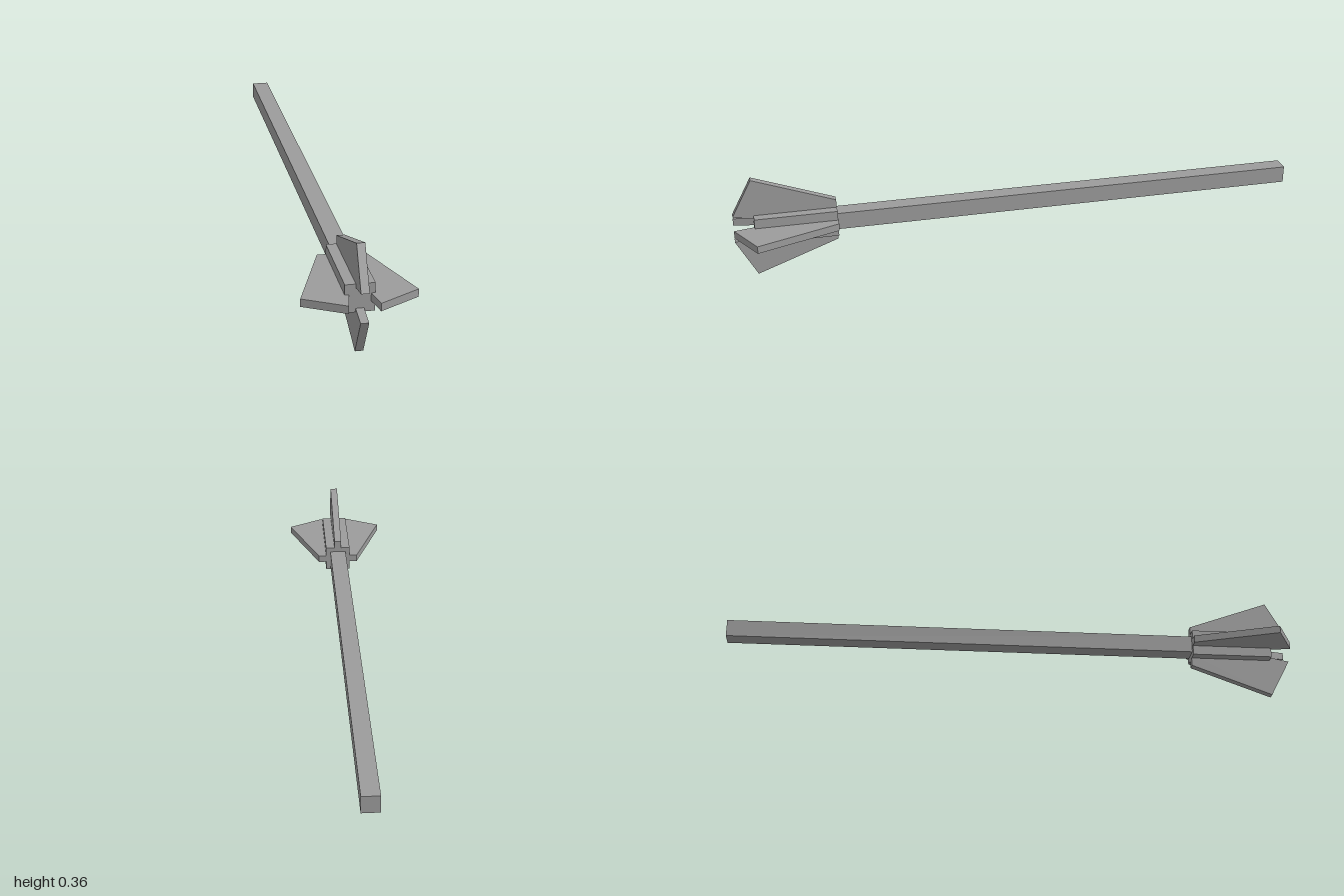
import * as THREE from 'three';

export function createModel() {
  const model = new THREE.Group();
  model.name = 'flangedMace';
  const material = new THREE.MeshStandardMaterial({ color: 0x9b9b9b, flatShading: true });
  const axisY = 0.18;

  // Square bar lying along z, from back to front
  const bar = (name, width, back, front) => {
    const mesh = new THREE.Mesh(new THREE.BoxGeometry(width, width, front - back), material);
    mesh.name = name;
    mesh.position.set(0, axisY, (back + front) / 2);
    model.add(mesh);
  };
  bar('shaft', 0.06, -1, 0.647);
  bar('headCore', 0.093, 0.647, 0.93);

  // Flange outline: distance from the axis, then position along z
  const outline = new THREE.Shape([
    [0.034, 0.647], [0.075, 0.647], [0.179, 0.93], [0.048, 1], [0.034, 0.93],
  ].map(([r, z]) => new THREE.Vector2(r, z)));
  const thickness = 0.026;
  const flangeGeometry = new THREE.ExtrudeGeometry(outline, { depth: thickness, bevelEnabled: false });
  flangeGeometry.translate(0, 0, -thickness / 2).rotateX(Math.PI / 2);

  // Four flanges around the head
  ['leftFlange', 'topFlange', 'rightFlange', 'bottomFlange'].forEach((name, i) => {
    const flange = new THREE.Mesh(flangeGeometry, material);
    flange.name = name;
    flange.position.y = axisY;
    flange.rotation.z = (i * Math.PI) / 2;
    model.add(flange);
  });

  return model;
}
